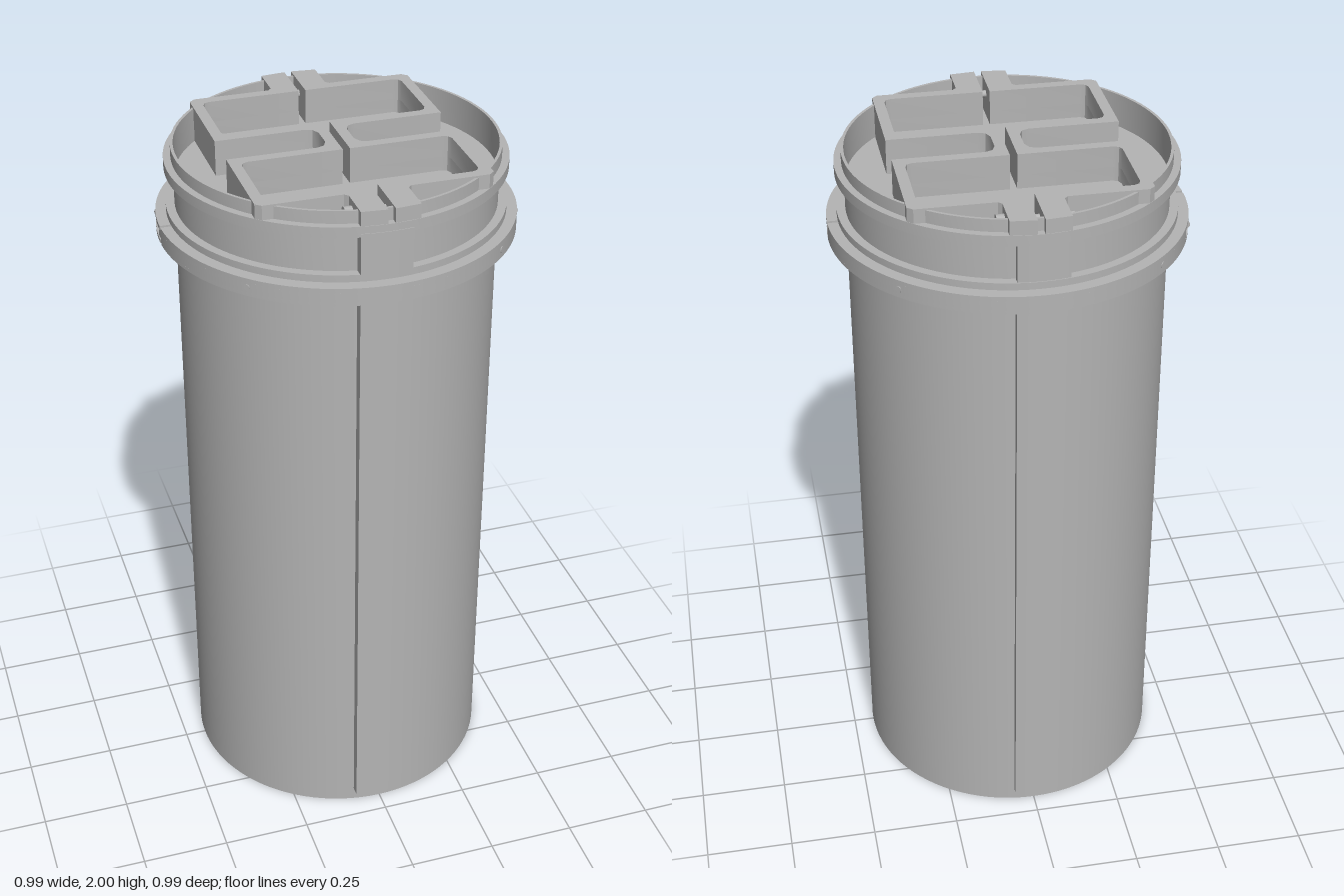
import * as THREE from 'three';
import { toCreasedNormals } from 'three/addons/utils/BufferGeometryUtils.js';

export function createModel() {
  const model = new THREE.Group();
  const grey = new THREE.MeshStandardMaterial({ color: 0xb4b4b4 });
  grey.name = 'plain grey';

  const add = (name, geo, parent = model) => {
    const mesh = new THREE.Mesh(toCreasedNormals(geo, 0.5), grey);
    mesh.name = name;
    parent.add(mesh);
    return mesh;
  };
  const lathe = (pts) => new THREE.LatheGeometry(pts.map((p) => new THREE.Vector2(...p)), 96);
  // plan shape (x, -z) raised from y0 to y1
  const slab = (shape, y0, y1) =>
    new THREE.ExtrudeGeometry(shape, { depth: y1 - y0, bevelEnabled: false, curveSegments: 48 })
      .rotateX(-Math.PI / 2).translate(0, y0, 0);
  // curved plate between two radii, from x0 to x1 on the -z side of the plan
  const plate = (r0, r1, x0, x1) => {
    const s = new THREE.Shape();
    s.absarc(0, 0, r1, Math.acos(x1 / r1), Math.acos(x0 / r1), false);
    s.absarc(0, 0, r0, Math.acos(x0 / r0), Math.acos(x1 / r0), true);
    return s;
  };

  // Canister body with its top lip
  add('body', lathe([[0, 0], [0.44, 0], [0.44, 1.805], [0.464, 1.805], [0.464, 1.825], [0.44, 1.825], [0, 1.825]]));

  // Lid: flange, thin raised rim and sunken floor
  add('lid', lathe([[0.44, 1.82], [0.44, 1.93], [0.465, 1.93], [0.465, 1.96], [0.445, 1.96],
    [0.445, 1.995], [0.437, 1.995], [0.437, 1.9], [0, 1.9]]));

  // Long guide rails and lid brackets, front and back
  add('backRail', slab(plate(0.43, 0.46, -0.08, 0.06), 0.04, 1.76));
  add('frontRail', slab(plate(0.43, 0.467, -0.06, 0.08), 0.04, 1.76)).rotation.y = Math.PI;
  add('backBracket', slab(plate(0.43, 0.461, -0.08, 0.06), 1.82, 1.94));
  add('frontBracket', slab(plate(0.43, 0.467, -0.06, 0.08), 1.82, 1.94)).rotation.y = Math.PI;

  // Lid handle: two mirrored winding walls, trimmed to radius R
  const handleShape = (side, R) => {
    const at = (v) => Math.sqrt(R * R - v * v);
    const half = [[0.08, at(0.08)], [0.08, 0.36], [0.09, 0.35], [at(0.35), 0.35], [0.32, at(0.32)],
      [0.32, 0.06], [0.07, 0.06], [0.05, 0.052], [0.04, 0.03]];
    const inner = [[0.01, 0.09], [0.27, 0.09], [0.284, 0.096], [0.29, 0.11], [0.29, 0.3],
      [0.284, 0.314], [0.27, 0.32], [0.01, 0.32], [0.01, at(0.01)]];
    const flip = (list) => list.map(([x, s]) => [x, -s]).reverse();
    const pts = [...half, ...flip(half), ...flip(inner), ...inner];
    return new THREE.Shape(pts.map(([x, s]) => new THREE.Vector2(side * x, s)));
  };
  for (const side of [1, -1]) {
    const handle = new THREE.Group();
    handle.name = side > 0 ? 'leftHandle' : 'rightHandle';
    model.add(handle);
    add('handleTop', slab(handleShape(side, 0.464), 1.94, 2), handle);
    add('handleFoot', slab(handleShape(side, 0.436), 1.895, 1.94), handle);
  }

  // Cross bolts through the handle arms
  for (const end of [1, -1]) {
    const bolt = new THREE.Group();
    bolt.name = end > 0 ? 'frontCrossBolt' : 'backCrossBolt';
    bolt.position.set(0, 1.965, end * 0.385);
    bolt.rotation.y = end > 0 ? Math.PI : 0;
    model.add(bolt);
    const rod = (name, r, x0, x1) =>
      add(name, new THREE.CylinderGeometry(r, r, x1 - x0, 24).rotateZ(Math.PI / 2).translate((x0 + x1) / 2, 0, 0), bolt);
    rod('boltShank', 0.01, -0.1, 0.08);
    rod('boltHead', 0.018, 0.08, 0.102);
  }

  // Clamp ring: two halves, each with a recess for its tightening screw
  const ringHalf = (recessed) => {
    const r = 0.493, r0 = 0.438, g = 0.005;
    const s = new THREE.Shape();
    s.absarc(0, 0, r, g / r, Math.PI - (recessed ? Math.asin(0.2 / r) : g / r), false);
    if (recessed) {
      s.lineTo(-0.45, 0.2);
      s.lineTo(-0.45, 0.03);
      s.lineTo(-0.49, 0.03);
      s.lineTo(-0.49, g);
    }
    s.absarc(0, 0, r0, Math.PI - g / r0, g / r0, true);
    return s;
  };
  for (const turn of [0, Math.PI]) {
    const clamp = new THREE.Group();
    clamp.name = turn ? 'frontClamp' : 'backClamp';
    clamp.rotation.y = turn;
    model.add(clamp);
    add('clampLower', slab(ringHalf(false), 1.752, 1.762), clamp);
    add('clampMiddle', slab(ringHalf(true), 1.762, 1.79), clamp);
    add('clampUpper', slab(ringHalf(false), 1.79, 1.802), clamp);
    add('clampScrew', new THREE.CylinderGeometry(0.011, 0.011, 0.12, 20)
      .rotateX(Math.PI / 2).translate(-0.466, 1.776, -0.085), clamp);
    // small radial pins at the diagonals
    for (const a of [Math.PI / 4, -Math.PI / 4]) {
      add('clampPin', new THREE.CylinderGeometry(0.009, 0.009, 0.02, 16)
        .rotateX(Math.PI / 2).translate(0, 1.776, -0.485).rotateY(a), clamp);
    }
  }
  return model;
}
